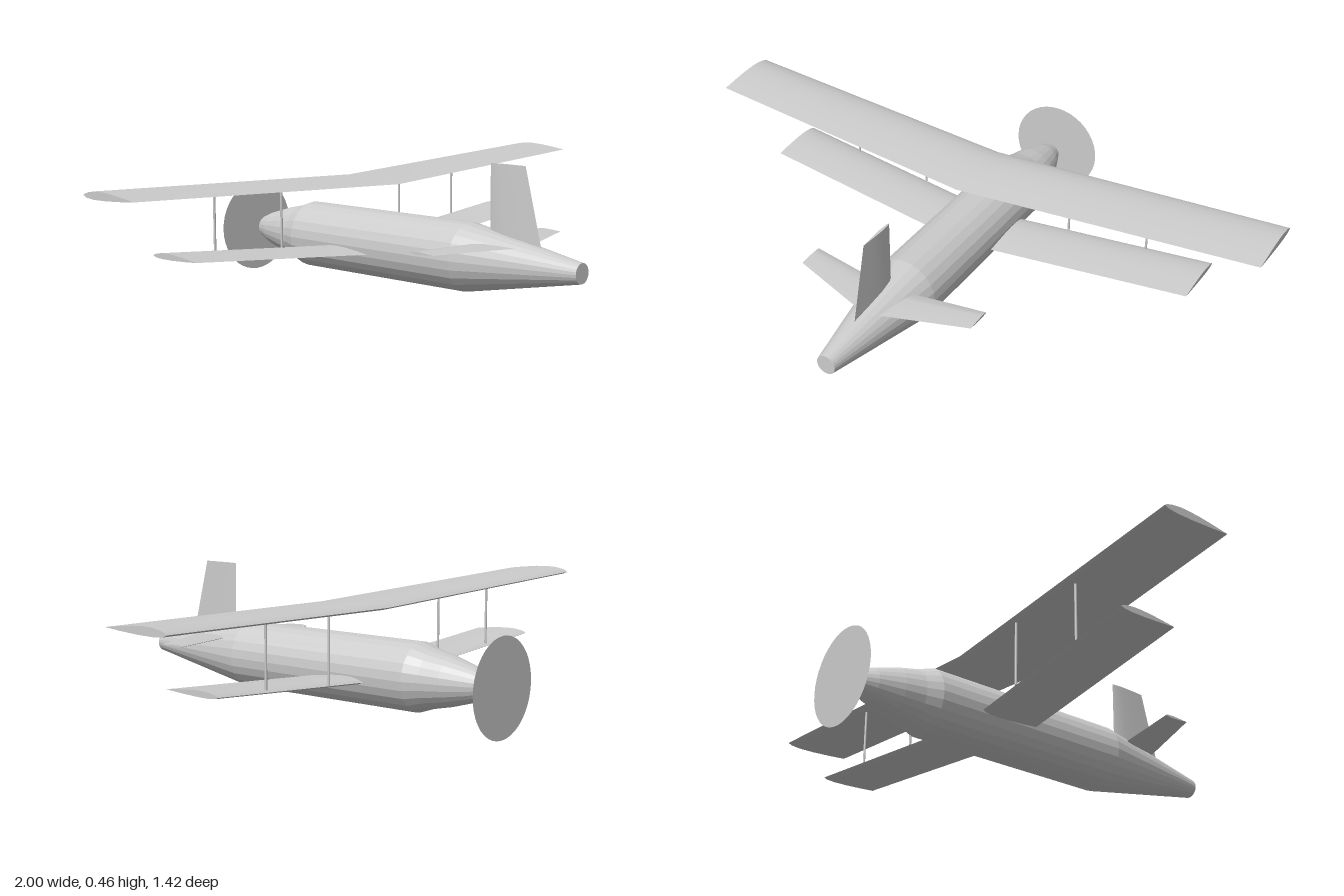
import * as THREE from 'three';
import { toCreasedNormals } from 'three/addons/utils/BufferGeometryUtils.js';

const AXIS_Y = 0.158;
const grey = (options = {}) => new THREE.MeshStandardMaterial({ color: 0xcccccc, ...options });

// Closed section outlines: [fraction of chord, fraction of thickness]
const CAMBERED = [[0, 0], [0.03, 0.3], [0.1, 0.65], [0.22, 0.94], [0.36, 1], [0.55, 0.84], [0.78, 0.45],
  [1, 0], [0.75, -0.3], [0.45, -0.55], [0.2, -0.6], [0.06, -0.4]];
const SYMMETRIC = [[0, 0], [0.06, 0.6], [0.3, 1], [0.65, 0.6], [1, 0], [0.65, -0.6], [0.3, -1], [0.06, -0.6]];

// Skins a surface through stations [x, y, leading z, trailing z, thickness] ordered by rising x
function loft(stations, outline) {
  const n = outline.length;
  const positions = [];
  const index = [];
  for (const [x, y, lead, trail, thick] of stations)
    for (const [u, v] of outline) positions.push(x, y + v * thick, lead + u * (trail - lead));
  for (let s = 0; s < stations.length - 1; s++)
    for (let i = 0; i < n; i++) {
      const a = s * n + i, b = s * n + (i + 1) % n;
      index.push(a, b, a + n, b, b + n, a + n);
    }
  const last = (stations.length - 1) * n;
  for (let i = 1; i < n - 1; i++) {
    index.push(0, i + 1, i);
    index.push(last, last + i, last + i + 1);
  }
  const geometry = new THREE.BufferGeometry();
  geometry.setAttribute('position', new THREE.Float32BufferAttribute(positions, 3));
  geometry.setIndex(index);
  return toCreasedNormals(geometry, 0.5);
}

// Full-span surface mirrored about the centre line
const span = (root, tip, outline) => loft([[-tip[0], ...tip.slice(1)], root, tip], outline);

export function createModel() {
  const model = new THREE.Group();
  const add = (name, geometry, material = grey()) => {
    const mesh = new THREE.Mesh(geometry, material);
    mesh.name = name;
    model.add(mesh);
    return mesh;
  };

  // Fuselage: [radius, z] from the pointed nose to the blunt tail
  const profile = [[0, -0.698], [0.036, -0.658], [0.056, -0.61], [0.079, -0.53], [0.093, -0.465],
    [0.11, -0.415], [0.11, 0.285], [0.032, 0.71], [0, 0.71]];
  const body = new THREE.LatheGeometry(profile.map(([r, z]) => new THREE.Vector2(r, z)), 24);
  add('fuselage', body.rotateX(Math.PI / 2), grey({ flatShading: true })).position.y = AXIS_Y;

  // Spinning propeller as a thin disc
  add('propellerDisc', new THREE.CircleGeometry(0.157, 40), grey({ side: THREE.DoubleSide }))
    .position.set(0, AXIS_Y, -0.708);

  // Wings with dihedral and slight forward sweep
  add('upperWing', span([0, 0.361, -0.283, -0.019, 0.018], [1, 0.395, -0.332, -0.096, 0.016], CAMBERED));
  add('lowerWing', span([0, 0.129, -0.262, -0.055, 0.015], [0.78, 0.195, -0.3, -0.1, 0.012], CAMBERED));

  // Struts joining the wings
  for (const side of [-1, 1])
    for (const x of [0.28, 0.56]) {
      const low = 0.129 + 0.085 * x;
      const high = 0.361 + 0.034 * x;
      add('wingStrut', new THREE.CylinderGeometry(0.004, 0.004, high - low, 8))
        .position.set(side * x, (low + high) / 2, -0.276);
    }

  // Tail surfaces; the fin is lofted sideways and turned upright
  add('tailplane', span([0, 0.213, 0.363, 0.508, 0.006], [0.31, 0.215, 0.312, 0.402, 0.004], SYMMETRIC));
  const fin = loft([[0.17, 0, 0.363, 0.571, 0.007], [0.459, 0, 0.363, 0.497, 0.005]], SYMMETRIC);
  add('tailFin', fin.rotateZ(Math.PI / 2));

  return model;
}
